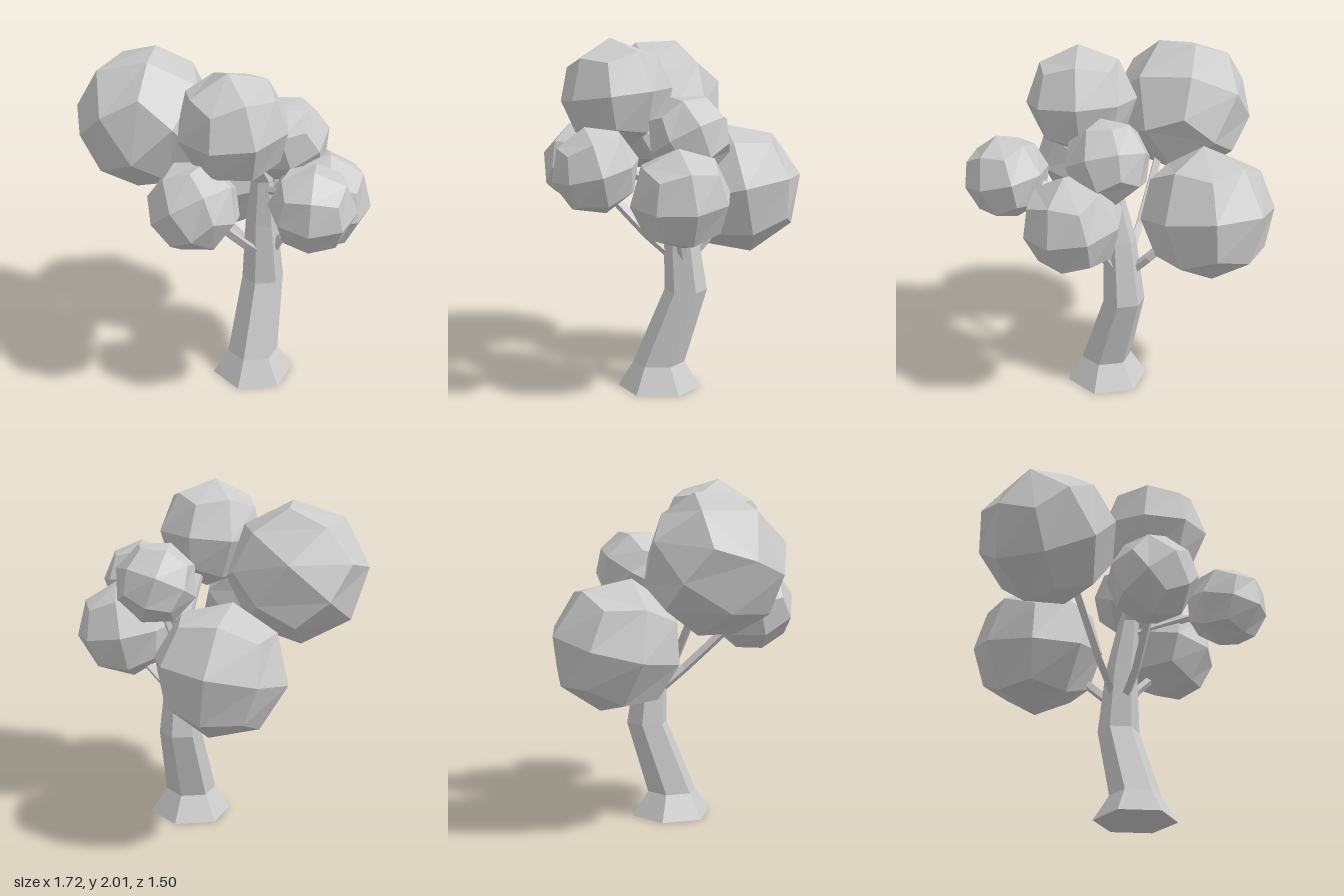
import * as THREE from 'three';

const material = new THREE.MeshStandardMaterial({ color: 0xcccccc, flatShading: true });

// Faceted leaf ball: a cube of 2 x 2 faces per side, pushed out to a sphere
function leafBall(radius) {
  const geo = new THREE.BoxGeometry(2, 2, 2, 2, 2, 2);
  const pos = geo.attributes.position;
  const v = new THREE.Vector3();
  for (let i = 0; i < pos.count; i++) {
    v.fromBufferAttribute(pos, i).setLength(radius);
    pos.setXYZ(i, v.x, v.y, v.z);
  }
  geo.computeVertexNormals();
  return geo;
}

// Six-sided trunk through rings of [x, y, z, radius], bottom to top
function trunkGeometry(rings) {
  const n = rings.length - 1;
  const geo = new THREE.CylinderGeometry(1, 1, n, 6, n);
  const pos = geo.attributes.position;
  for (let i = 0; i < pos.count; i++) {
    const [x, y, z, r] = rings[Math.round(pos.getY(i) + n / 2)];
    pos.setXYZ(i, x + pos.getX(i) * r, y, z + pos.getZ(i) * r);
  }
  geo.computeVertexNormals();
  return geo;
}

// Four-sided branch along straight pieces
function branchGeometry(points, radius) {
  const curve = new THREE.CatmullRomCurve3(points.map((p) => new THREE.Vector3(...p)));
  return new THREE.TubeGeometry(curve, 3, radius, 4, false);
}

export function createModel() {
  const tree = new THREE.Group();
  tree.name = 'tree';
  const add = (name, geo) => {
    const mesh = new THREE.Mesh(geo, material);
    mesh.name = name;
    tree.add(mesh);
    return mesh;
  };

  // Bent trunk with a flared foot
  add('trunk', trunkGeometry([
    [0.172, 0, 0.07, 0.238],
    [0.172, 0.145, 0.073, 0.148],
    [0.17, 0.575, -0.082, 0.122],
    [0.17, 0.95, -0.05, 0.093],
    [0.19, 1.25, 0.0, 0.062],
    [0.16, 1.55, 0.2, 0.04],
  ]));

  // Branches into each leaf ball
  const branches = [
    ['leftBranch', [[0.6, 1.33, 0.3], [0.38, 1.25, 0.12], [0.2, 1.17, -0.02]], 0.024],
    ['lowerLeftBranch', [[0.22, 0.74, -0.07], [0.29, 0.86, -0.06], [0.5, 1.05, -0.06]], 0.026],
    ['frontBranch', [[0.16, 0.77, 0.0], [0.14, 0.88, 0.13], [0.05, 1.15, 0.4]], 0.028],
    ['rightBranch', [[0.12, 0.77, -0.05], [0.0, 0.9, 0.0], [-0.3, 1.4, 0.1]], 0.028],
    ['backBranch', [[0.14, 0.75, -0.1], [0.08, 0.86, -0.2], [-0.1, 1.05, -0.32]], 0.028],
    ['upperBackBranch', [[0.18, 1.05, -0.04], [0.24, 1.2, -0.07], [0.31, 1.45, -0.11]], 0.022],
  ];
  for (const [name, points, radius] of branches) add(name, branchGeometry(points, radius));

  // Leaf balls: centre, radius, rotation
  const balls = [
    ['rightLeaves', [-0.47, 1.57, 0.115], 0.405, [0.35, 0.2, 0.6]],
    ['backLeaves', [-0.21, 1.105, -0.375], 0.385, [0.2, 0.15, 0.1]],
    ['topLeaves', [0.14, 1.69, 0.31], 0.318, [0.08, 0.78, 0.06]],
    ['frontLeaves', [-0.01, 1.27, 0.5], 0.26, [-0.25, -0.1, 0.6]],
    ['leftLeaves', [0.63, 1.33, 0.385], 0.242, [0.25, 0.25, -0.1]],
    ['lowerLeftLeaves', [0.525, 1.16, -0.065], 0.287, [0.1, 0.35, -0.2]],
    ['upperBackLeaves', [0.305, 1.475, -0.105], 0.243, [0.4, 0.4, 0.2]],
  ];
  for (const [name, centre, radius, turn] of balls) {
    const ball = add(name, leafBall(radius));
    ball.position.set(...centre);
    ball.rotation.set(...turn);
  }
  return tree;
}
